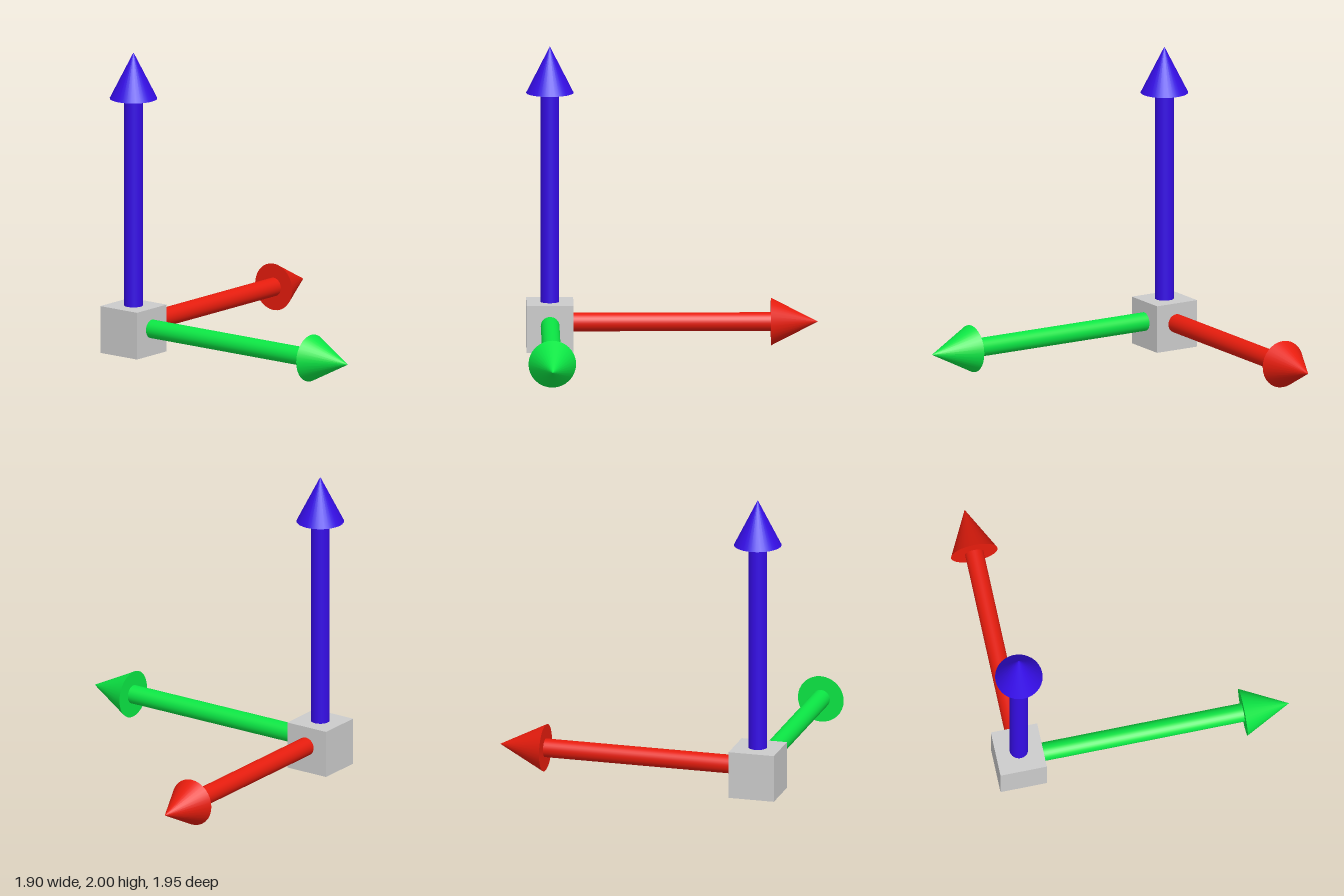
import * as THREE from 'three';

const SHAFT_R = 0.061, HEAD_R = 0.155, HEAD_L = 0.306, SEGMENTS = 32;

// Arrow built along +y from its origin: a round shaft capped by a cone
function makeArrow(name, color, length) {
  const material = new THREE.MeshStandardMaterial({ color });
  const arrow = new THREE.Group();
  arrow.name = name;

  const shaftLength = length - HEAD_L;
  const shaft = new THREE.Mesh(
    new THREE.CylinderGeometry(SHAFT_R, SHAFT_R, shaftLength, SEGMENTS), material);
  shaft.name = name + 'Shaft';
  shaft.position.y = shaftLength / 2;

  const head = new THREE.Mesh(new THREE.ConeGeometry(HEAD_R, HEAD_L, SEGMENTS), material);
  head.name = name + 'Head';
  head.position.y = shaftLength + HEAD_L / 2;

  arrow.add(shaft, head);
  return arrow;
}

export function createModel() {
  const model = new THREE.Group();
  model.name = 'axisArrows';

  // Cube at the corner where the arrows meet
  const cube = new THREE.Mesh(
    new THREE.BoxGeometry(0.306, 0.312, 0.308),
    new THREE.MeshStandardMaterial({ color: 0xcccccc }));
  cube.name = 'originCube';
  cube.position.set(-0.798, 0.156, -0.82);
  model.add(cube);

  // Arrow pointing up
  const up = makeArrow('upArrow', 0x350de6, 1.82);
  up.position.set(-0.798, 0.18, -0.82);

  // Arrow pointing to the side
  const side = makeArrow('sideArrow', 0xe61c0d, 1.743);
  side.position.set(-0.798, 0.178, -0.814);
  side.rotation.z = -Math.PI / 2;

  // Arrow pointing forward
  const forward = makeArrow('forwardArrow', 0x0be644, 1.795);
  forward.position.set(-0.798, 0.178, -0.82);
  forward.rotation.x = Math.PI / 2;

  model.add(up, side, forward);
  return model;
}
